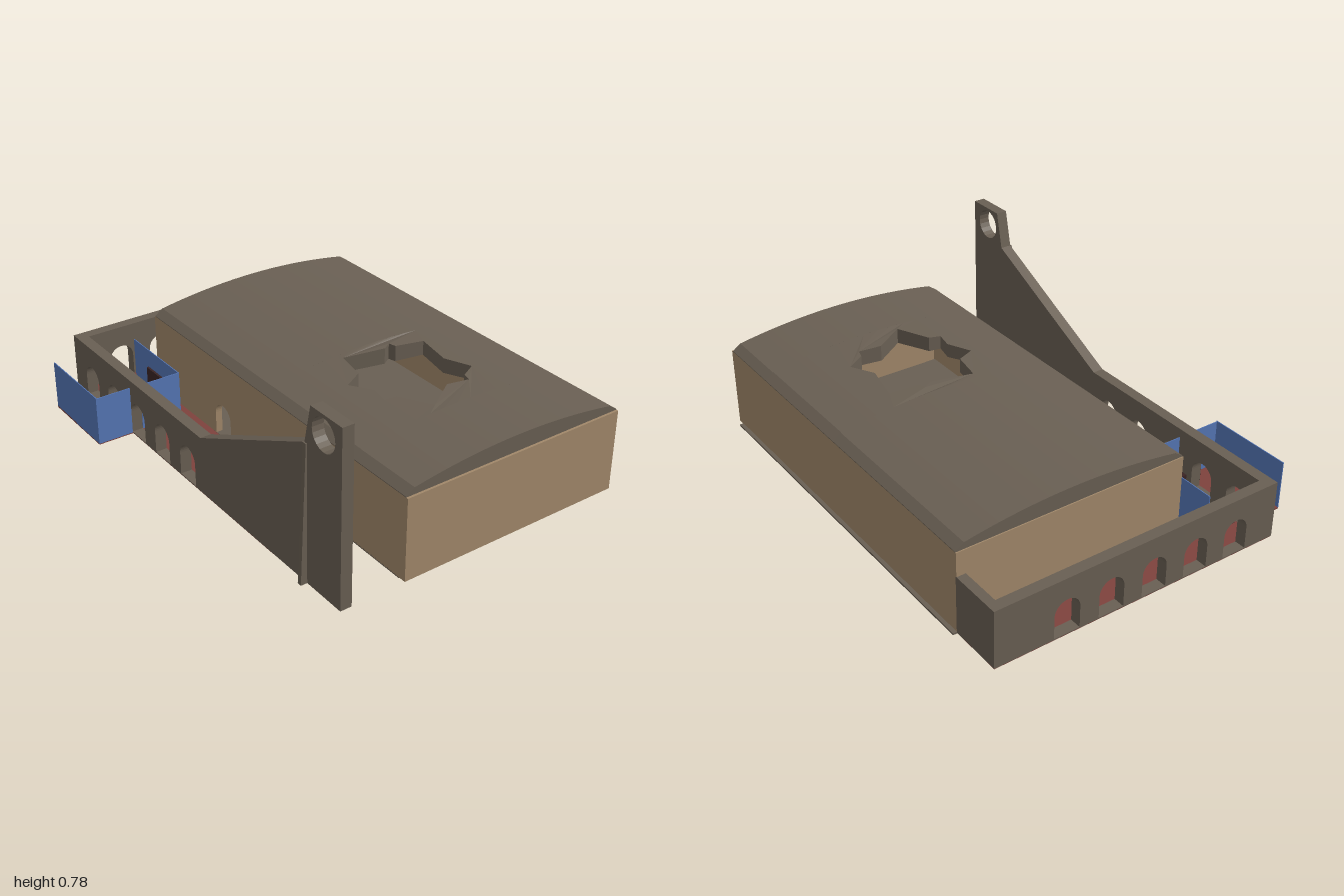
import * as THREE from 'three';

const mat = (name, color, side = THREE.FrontSide) => {
  const m = new THREE.MeshStandardMaterial({ color, side });
  m.name = name;
  return m;
};

export function createModel() {
  const root = new THREE.Group();
  const stone = mat('grey stone', 0x695f53);
  const plaster = mat('tan plaster', 0xa1886a);
  const red = mat('red floor', 0x7e423d);
  const blue = mat('blue panel', 0x5576b5, THREE.DoubleSide);
  const dark = mat('dark wood', 0x3a2424);
  const rock = mat('rubble', 0x655b50);
  rock.flatShading = true;

  const add = (name, geo, m) => {
    const mesh = new THREE.Mesh(geo, m);
    mesh.name = name;
    root.add(mesh);
    return mesh;
  };
  // box given by its extents
  const box = (name, m, x0, x1, y0, y1, z0, z1) => {
    const g = new THREE.BoxGeometry(x1 - x0, y1 - y0, z1 - z0);
    g.translate((x0 + x1) / 2, (y0 + y1) / 2, (z0 + z1) / 2);
    return add(name, g, m);
  };
  const shapeOf = (pts) => new THREE.Shape(pts.map(([a, b]) => new THREE.Vector2(a, b)));
  const extrude = (shape, depth) =>
    new THREE.ExtrudeGeometry(shape, { depth, bevelEnabled: false, curveSegments: 10 });
  // round-topped opening centred on c
  const arch = (c, w = 0.058, top = 0.19) => {
    const p = new THREE.Path();
    p.moveTo(c - w, 0.034);
    p.lineTo(c + w, 0.034);
    p.lineTo(c + w, top - w);
    p.absarc(c, top - w, w, 0, Math.PI, false);
    p.lineTo(c - w, 0.034);
    return p;
  };
  // wall drawn in (z, y) and thickened from x0 to x1
  const sideWall = (name, shape, m, x0, x1) => {
    const g = extrude(shape, x1 - x0);
    g.rotateY(-Math.PI / 2);
    g.translate(x1, 0, 0);
    return add(name, g, m);
  };

  // tall side wall with bell opening, sloped shoulder and arcade
  const tall = shapeOf([[-1, 0.03], [1, 0.03], [1, 0.78], [0.82, 0.78], [0.785, 0.62],
    [0.45, 0.46], [0.08, 0.285], [-1, 0.285]]);
  for (let i = 0; i < 5; i++) tall.holes.push(arch(-0.84 + 0.203 * i));
  const bell = new THREE.Path();
  bell.absarc(0.895, 0.7, 0.067, 0, Math.PI * 2, true);
  tall.holes.push(bell);
  sideWall('bellWall', tall, stone, -0.6, -0.55);

  // tapered buttress on the outer face
  const buttress = extrude(shapeOf([[-0.628, 0.03], [-0.598, 0.03], [-0.598, 0.62], [-0.605, 0.62]]), 0.02);
  buttress.translate(0, 0, 0.78);
  add('buttress', buttress, stone);

  // rear arcade and its return to the hall
  const rear = shapeOf([[-0.551, 0.03], [0.74, 0.03], [0.74, 0.285], [-0.551, 0.285]]);
  for (let i = 0; i < 5; i++) rear.holes.push(arch(-0.395 + 0.204 * i));
  const rearGeo = extrude(rear, 0.05);
  rearGeo.translate(0, 0, -1);
  add('rearArcade', rearGeo, stone);
  box('returnWall', stone, 0.7, 0.74, 0.03, 0.285, -0.951, -0.765);

  // hall walls, hollow inside
  const doorWall = shapeOf([[-0.77, 0.03], [1, 0.03], [1, 0.39], [-0.77, 0.39]]);
  doorWall.holes.push(arch(-0.22));
  sideWall('hallDoorWall', doorWall, plaster, -0.31, -0.28);
  box('hallLeftWall', plaster, 0.71, 0.74, 0.03, 0.39, -0.77, 1);
  box('hallFrontWall', plaster, -0.28, 0.71, 0.03, 0.39, 0.97, 1);
  box('hallRearWall', plaster, -0.28, 0.71, 0.03, 0.39, -0.77, -0.74);
  box('hallFloor', stone, -0.31, 0.757, 0.026, 0.034, -0.766, 0.965);

  // shallow vaulted roof, built around a broken opening
  const height = (x) => {
    const u = Math.abs((x - 0.215) / 0.525);
    return Math.min(0.462 - 0.05 * u * u, 0.393 + (1 - u) * 0.37);
  };
  const vault = (x0, x1, z0, z1) => {
    const pts = [[x0, 0.39], [x1, 0.39]];
    const n = Math.round((x1 - x0) / 0.0375);
    for (let i = n; i >= 0; i--) {
      const x = x0 + ((x1 - x0) * i) / n;
      pts.push([x, height(x)]);
    }
    const g = extrude(shapeOf(pts), z1 - z0);
    g.translate(0, 0, z0);
    add('roof', g, stone);
  };
  const [hx0, hx1, hz0, hz1] = [-0.08, 0.46, 0.1, 0.68];
  vault(-0.31, 0.74, -0.765, hz0);
  vault(-0.31, 0.74, hz1, 0.99);
  vault(-0.31, hx0, hz0, hz1);
  vault(hx1, 0.74, hz0, hz1);
  const rim = [];
  for (let i = 0; i <= 8; i++) rim.push([hx0 + ((hx1 - hx0) * i) / 8, -hz1]);
  for (let i = 8; i >= 0; i--) rim.push([hx0 + ((hx1 - hx0) * i) / 8, -hz0]);
  const patch = shapeOf(rim);
  patch.holes.push(new THREE.Path([[0.055, 0.13], [0.24, 0.17], [0.28, 0.145], [0.29, 0.178],
    [0.42, 0.2], [0.386, 0.37], [0.44, 0.48], [0.36, 0.526], [0.35, 0.564], [0.25, 0.548],
    [0.11, 0.643], [0.037, 0.5], [-0.016, 0.49], [0, 0.41], [-0.055, 0.31], [0.03, 0.267]]
    .map(([x, z]) => new THREE.Vector2(x, -z))));
  const patchGeo = extrude(patch, 0.05);
  patchGeo.rotateX(-Math.PI / 2);
  const p = patchGeo.attributes.position;
  for (let i = 0; i < p.count; i++) p.setY(i, p.getY(i) > 0.025 ? height(p.getX(i)) : 0.39);
  patchGeo.computeVertexNormals();
  add('brokenRoof', patchGeo, stone);

  // red courtyard floors
  box('sideFloor', red, -0.598, -0.31, 0.026, 0.033, -0.998, 0.58);
  box('rearFloor', red, -0.31, 0.738, 0.026, 0.033, -0.998, -0.768);
  box('boothFloor', red, -0.76, -0.598, 0.026, 0.033, -0.88, -0.49);

  // blue booth screens
  box('boothOuterScreen', blue, -0.76, -0.756, 0.03, 0.25, -0.88, -0.49);
  box('boothInnerScreen', blue, -0.364, -0.36, 0.03, 0.245, -0.88, -0.49);
  box('boothFrontScreenOuter', blue, -0.756, -0.6, 0.03, 0.247, -0.494, -0.49);
  box('boothFrontScreenInner', blue, -0.55, -0.364, 0.03, 0.245, -0.494, -0.49);

  // booth furniture
  box('cabinet', dark, -0.475, -0.425, 0.03, 0.1, -0.84, -0.745);
  box('desk', dark, -0.63, -0.485, 0.03, 0.09, -0.55, -0.497);
  box('shelf', dark, -0.374, -0.364, 0.03, 0.16, -0.755, -0.61);
  const barrel = new THREE.CylinderGeometry(0.026, 0.026, 0.06, 16);
  barrel.translate(-0.53, 0.06, -0.83);
  add('barrel', barrel, dark);
  const seat = new THREE.CylinderGeometry(0.02, 0.02, 0.012, 16);
  seat.translate(-0.53, 0.07, -0.675);
  add('stoolSeat', seat, stone);
  box('stoolLeg', dark, -0.533, -0.527, 0, 0.066, -0.678, -0.672);
  box('stoolFoot', dark, -0.54, -0.52, 0, 0.004, -0.68, -0.67);

  // U-shaped counter at the back of the hall
  box('counter', dark, -0.08, 0.54, 0.024, 0.09, -0.665, -0.625);
  box('counterEnd', dark, -0.08, -0.03, 0.024, 0.09, -0.74, -0.665);
  box('counterEnd', dark, 0.49, 0.54, 0.024, 0.09, -0.74, -0.665);

  // lumpy boulders blocking the passage
  const boulder = (x, y, z, rx, ry, rz, k) => {
    const g = new THREE.IcosahedronGeometry(1, 5);
    const q = g.attributes.position;
    const v = new THREE.Vector3();
    for (let i = 0; i < q.count; i++) {
      v.fromBufferAttribute(q, i);
      const s = 0.92 + 0.07 * Math.sin(4 * v.x + k) * Math.cos(5 * v.y - k)
        + 0.06 * Math.sin(6 * v.z + 2 * k + 3 * v.x) + 0.025 * Math.sin(13 * v.y + 11 * v.x + k);
      q.setXYZ(i, v.x * s * rx, v.y * s * ry, v.z * s * rz);
    }
    g.computeVertexNormals();
    add('boulder', g, rock).position.set(x, y, z);
  };
  boulder(-0.47, 0.077, 0.175, 0.074, 0.063, 0.068, 0.5);
  boulder(-0.365, 0.064, 0.16, 0.06, 0.061, 0.072, 2.1);

  return root;
}
